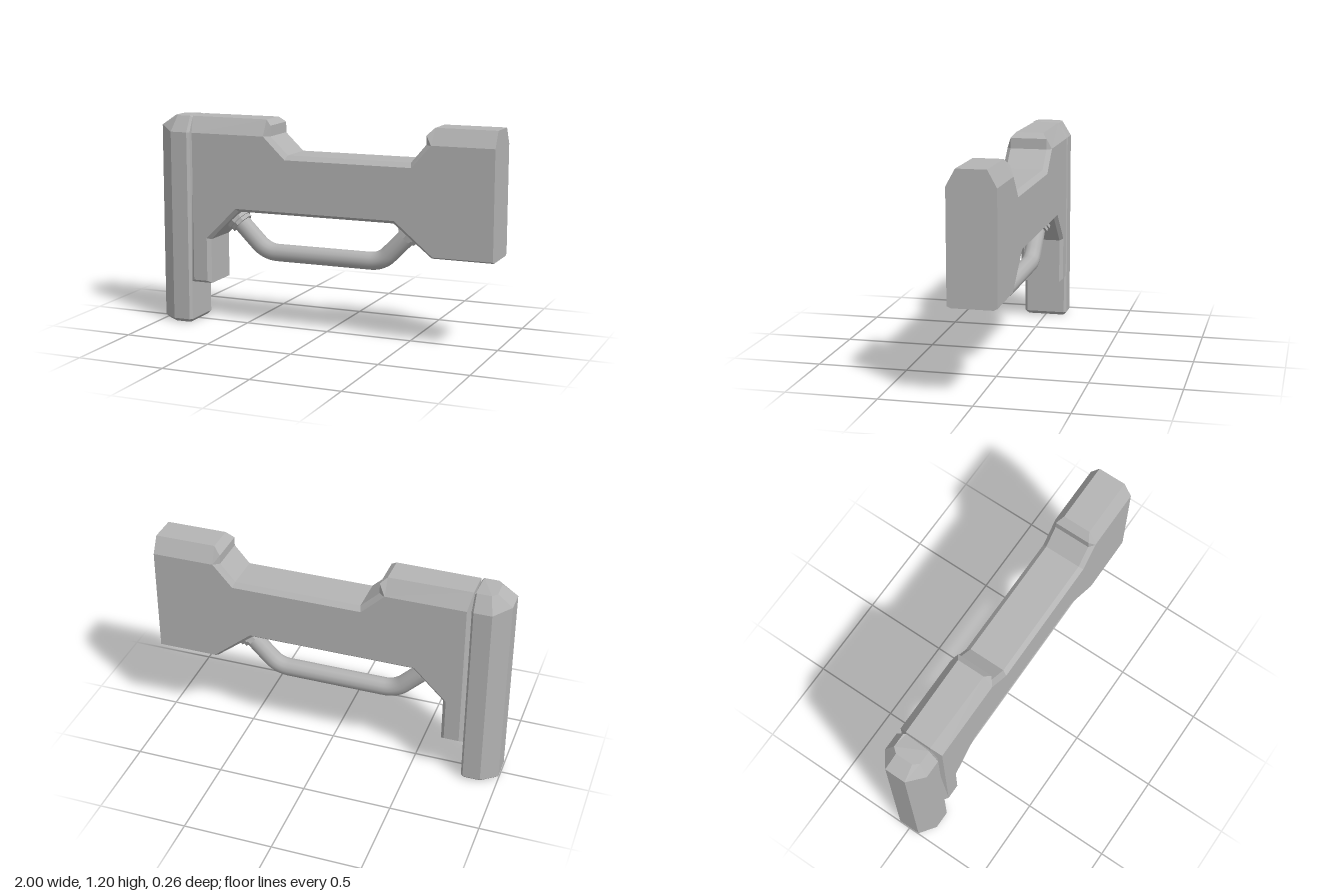
import * as THREE from 'three';

// Skin a stack of equal-length rings (counterclockwise about the stacking axis) and cap both ends.
function loft(rings, project) {
  const pos = [];
  const tri = (a, b, c) => pos.push(...a, ...b, ...c);
  for (let k = 0; k + 1 < rings.length; k++) {
    const a = rings[k], b = rings[k + 1], n = a.length;
    for (let i = 0; i < n; i++) {
      const j = (i + 1) % n;
      tri(a[i], a[j], b[j]);
      tri(a[i], b[j], b[i]);
    }
  }
  const first = rings[0], last = rings[rings.length - 1];
  const cap = (r) => THREE.ShapeUtils.triangulateShape(r.map(project), []);
  for (const [a, b, c] of cap(first)) tri(first[c], first[b], first[a]);
  for (const [a, b, c] of cap(last)) tri(last[a], last[b], last[c]);
  const g = new THREE.BufferGeometry();
  g.setAttribute('position', new THREE.Float32BufferAttribute(pos, 3));
  g.computeVertexNormals();
  return g;
}

export function createModel() {
  const group = new THREE.Group();
  const grey = new THREE.MeshStandardMaterial({ color: 0xb4b4b4 });
  grey.name = 'grey';
  const add = (name, geometry) => {
    const m = new THREE.Mesh(geometry, grey);
    m.name = name;
    group.add(m);
    return m;
  };

  // Body outline: side-face corner x, y, then bevelled edge x, y, z
  const outline = [
    [1, 0.51, 1, 0.5, 0.11],
    [1, 1.11, 1, 1.2, 0.08],
    [0.65, 1.11, 0.655, 1.2, 0.08],
    [0.65, 1.11, 0.615, 1.16, 0.105],
    [0.648, 1.108, 0.615, 1.11, 0.105],
    [0.54, 0.985, 0.53, 1.01, 0.105],
    [-0.2, 0.985, -0.19, 1.01, 0.105],
    [-0.328, 1.108, -0.295, 1.11, 0.105],
    [-0.33, 1.11, -0.295, 1.17, 0.105],
    [-0.33, 1.11, -0.33, 1.2, 0.08],
    [-0.775, 1.11, -0.795, 1.2, 0.075],
    [-0.775, 0.26, -0.797, 0.245, 0.11],
    [-0.69, 0.26, -0.67, 0.245, 0.11],
    [-0.69, 0.51, -0.67, 0.502, 0.11],
    [-0.505, 0.692, -0.495, 0.675, 0.11],
    [0.445, 0.692, 0.435, 0.675, 0.11],
    [0.665, 0.51, 0.655, 0.5, 0.11],
  ];
  const inner = (s) => outline.map(([x, y]) => [x, y, s * 0.13]);
  const outer = (s) => outline.map(([, , x, y, z]) => [x, y, s * z]);
  add('body', loft([inner(-1), outer(-1), outer(1), inner(1)],
    (p) => new THREE.Vector2(p[0], p[1])));

  // Butt plate: mirrored half plans (x, y, z) stacked upward
  const plan = (half) => [
    ...half.map(([x, y, z]) => [x, y, z]),
    ...half.slice().reverse().map(([x, y, z]) => [x, y, -z]),
  ];
  add('buttPlate', loft([
    plan([[-0.98, 0, 0.055], [-0.905, 0, 0.11], [-0.82, 0, 0.11], [-0.815, 0, 0.105]]),
    plan([[-1, 0.02, 0.065], [-0.91, 0.02, 0.13], [-0.81, 0.02, 0.13], [-0.797, 0.02, 0.115]]),
    plan([[-1, 1.14, 0.06], [-0.91, 1.11, 0.13], [-0.81, 1.11, 0.13], [-0.797, 1.11, 0.115]]),
    plan([[-0.915, 1.2, 0.05], [-0.89, 1.2, 0.08], [-0.81, 1.2, 0.08], [-0.8, 1.19, 0.07]]),
  ], (p) => new THREE.Vector2(p[0], -p[2])));

  // Handle rail: straight runs joined by short bends
  const v = (x, y) => new THREE.Vector3(x, y, 0);
  const path = new THREE.CurvePath();
  path.add(new THREE.LineCurve3(v(-0.57, 0.63), v(-0.42, 0.482)));
  path.add(new THREE.QuadraticBezierCurve3(v(-0.42, 0.482), v(-0.37, 0.433), v(-0.3, 0.433)));
  path.add(new THREE.LineCurve3(v(-0.3, 0.433), v(0.26, 0.433)));
  path.add(new THREE.QuadraticBezierCurve3(v(0.26, 0.433), v(0.33, 0.433), v(0.375, 0.482)));
  path.add(new THREE.LineCurve3(v(0.375, 0.482), v(0.52, 0.63)));
  add('handleRail', new THREE.TubeGeometry(path, 60, 0.051, 12, false));

  // Stepped collars where the rail meets the body
  for (const [x, side, name] of [[-0.55, 1, 'Right'], [0.5, -1, 'Left']]) {
    for (const [d, r, h] of [[0, 0.077, 0.03], [0.022, 0.066, 0.03]]) {
      const g = new THREE.CylinderGeometry(r, r, h, 10).toNonIndexed();
      g.computeVertexNormals();
      const c = add('railCollar' + name, g);
      c.rotation.z = side * Math.PI / 4;
      c.position.set(x + side * d * 0.7, 0.612 - d * 0.7, 0);
    }
  }
  return group;
}
